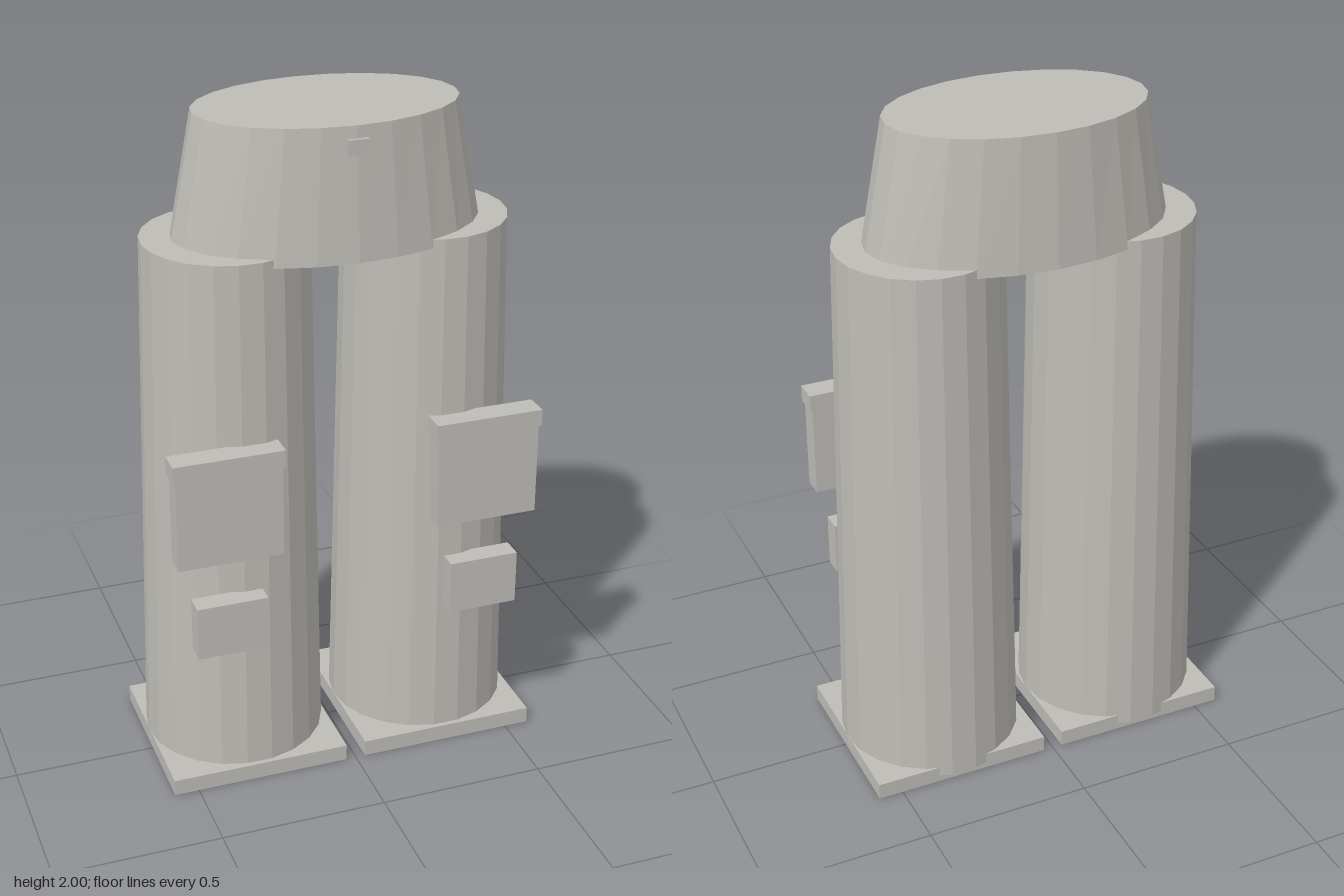
import * as THREE from 'three';

export function createModel() {
  const model = new THREE.Group();
  const grey = new THREE.MeshStandardMaterial({ color: 0xbebcb6, flatShading: true });
  grey.name = 'stone grey';

  const add = (name, geometry) => {
    const mesh = new THREE.Mesh(geometry, grey);
    mesh.name = name;
    model.add(mesh);
    return mesh;
  };

  // Box given by its extents on each axis
  const box = (name, x0, x1, y0, y1, z0, z1) =>
    add(name, new THREE.BoxGeometry(x1 - x0, y1 - y0, z1 - z0))
      .position.set((x0 + x1) / 2, (y0 + y1) / 2, (z0 + z1) / 2);

  // Closed elliptical taper; each ring is [y, centre x, centre z, radius x, radius z]
  const taper = (name, bottom, top, sides) => {
    const g = new THREE.CylinderGeometry(1, 1, 1, sides, 1);
    g.rotateY(Math.PI / 2); // a corner points sideways
    const p = g.attributes.position;
    for (let i = 0; i < p.count; i++) {
      const [y, cx, cz, rx, rz] = p.getY(i) > 0 ? top : bottom;
      p.setXYZ(i, cx + p.getX(i) * rx, y, cz + p.getZ(i) * rz);
    }
    g.computeVertexNormals();
    return add(name, g);
  };

  // Hips and belt button
  taper('hips', [1.62, 0, -0.016, 0.457, 0.273], [2, 0, -0.015, 0.383, 0.25], 24);
  box('beltButton', -0.03, 0.03, 1.92, 1.965, 0.2, 0.248);

  // Legs with foot plates and front pockets, mirrored
  for (const [side, s] of [['left', 1], ['right', -1]]) {
    taper(side + 'Leg', [0.02, s * 0.303, -0.027, 0.274, 0.272], [1.645, s * 0.298, -0.018, 0.24, 0.248], 22);
    const part = (name, x0, x1, ...rest) =>
      box(side + name, Math.min(s * x0, s * x1), Math.max(s * x0, s * x1), ...rest);
    part('FootPlate', 0.03, 0.574, 0, 0.05, -0.285, 0.257);
    part('Pouch', 0.235, 0.547, 0.78, 1.06, 0.225, 0.291);
    part('PouchFlap', 0.228, 0.554, 1.06, 1.11, 0.22, 0.296);
    part('LowerPocket', 0.284, 0.496, 0.48, 0.645, 0.225, 0.291);
  }
  return model;
}
